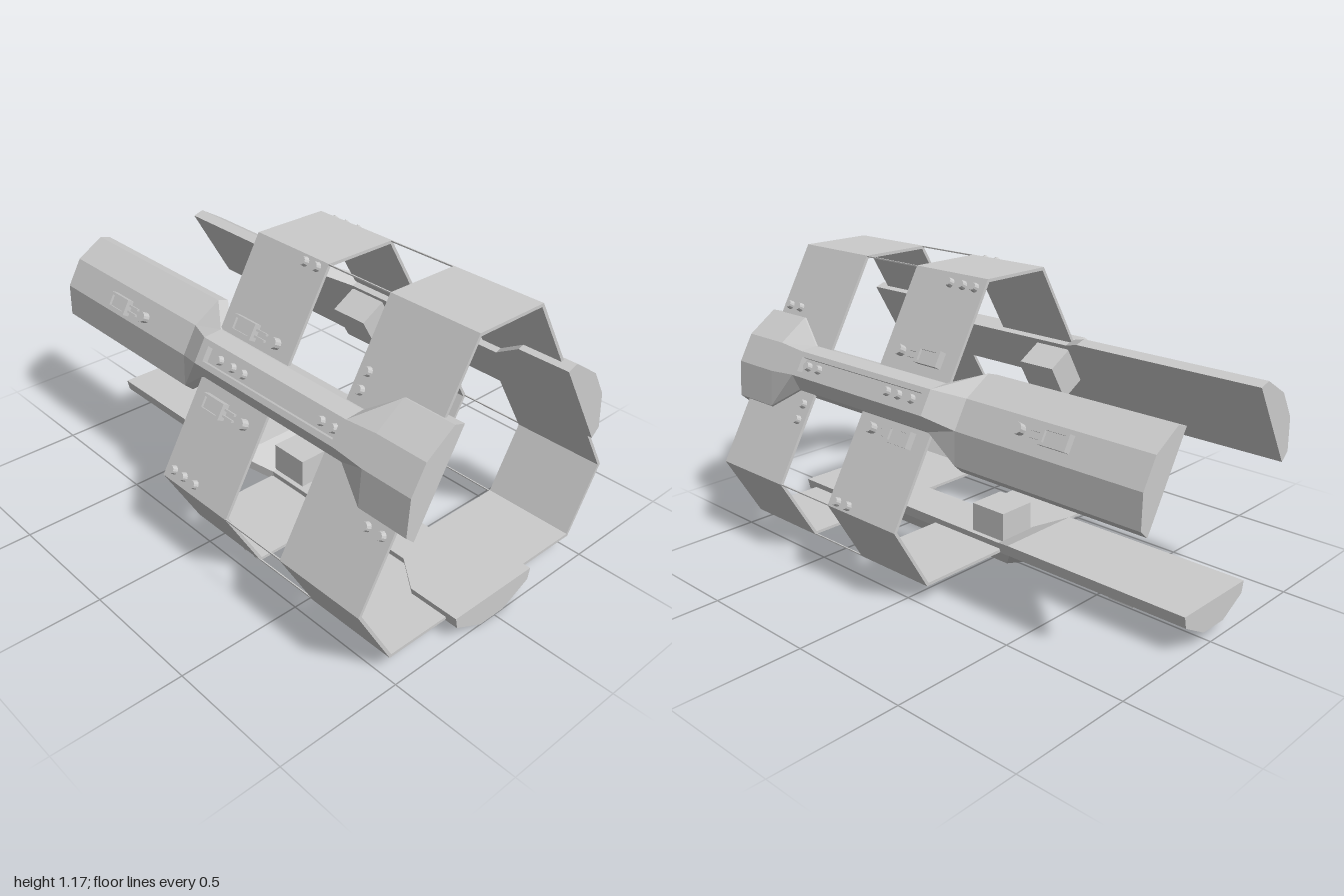
import * as THREE from 'three';

const CY = 0.5226; // height of the three-fold axis
const RING = 0.07; // outer height of the lower ring panel
const U0 = -0.0125; // sideways offset of the wings
const mat = new THREE.MeshStandardMaterial({ color: 0xcccccc, flatShading: true });

function add(parent, name, geo, x = 0, y = 0, z = 0) {
  const m = new THREE.Mesh(geo, mat);
  m.name = name;
  m.position.set(x, y, z);
  parent.add(m);
  return m;
}

// Corners of the six-sided ring, shrunk inward by t
function ringPoints(t) {
  const long = 0.4526 - t, short = 0.6424 - t, pts = [];
  const c = 0.5, s = Math.sqrt(3) / 2;
  for (let k = 0; k < 3; k++) {
    const a = -Math.PI / 2 + k * Math.PI * 2 / 3;
    // where a long panel meets the short panels on both sides of it
    const half = (short - long * c) / s;
    for (const u of [-half, half]) {
      pts.push(new THREE.Vector2(
        long * Math.cos(a) - u * Math.sin(a),
        long * Math.sin(a) + u * Math.cos(a)));
    }
  }
  return pts;
}

function ringGeometry(depth) {
  const shape = new THREE.Shape(ringPoints(0));
  shape.holes.push(new THREE.Path(ringPoints(0.012).reverse()));
  return new THREE.ExtrudeGeometry(shape, { depth, bevelEnabled: false });
}

// Wing cross-section: half width w, half flat f, lift, slot depth d
function section([z, w, f, lift, d]) {
  const s = 0.029, b = lift;
  return [[-w, b + 0.108], [-w + 0.01, b + 0.062], [-f, b], [-s, b], [-s, b + d],
    [s, b + d], [s, b], [f, b], [w - 0.01, b + 0.062], [w, b + 0.108]]
    .map(([x, y]) => new THREE.Vector3(x, y, z));
}

function wingGeometry() {
  const rows = [
    [1, 0.2, 0.06, 0, 0], [0.79, 0.2, 0.06, 0, 0], [0.66, 0.102, 0.05, 0, 0],
    [0.64, 0.102, 0.05, 0, 0], [0.64, 0.102, 0.05, 0, 0.025],
    [-0.04, 0.102, 0.05, 0, 0.025], [-0.04, 0.102, 0.05, 0, 0],
    [-0.075, 0.102, 0.05, 0, 0], [-0.2, 0.183, 0.06, 0.055, 0], [-1, 0.183, 0.06, 0.055, 0],
  ].map(section);
  const pos = [];
  const tri = (a, b, c) => {
    const area = b.clone().sub(a).cross(c.clone().sub(a)).length();
    if (area > 1e-8) for (const p of [a, b, c]) pos.push(p.x, p.y, p.z);
  };
  for (let r = 0; r + 1 < rows.length; r++) {
    const a = rows[r], b = rows[r + 1], n = a.length;
    for (let i = 0; i < n; i++) {
      const j = (i + 1) % n;
      tri(a[i], b[i], b[j]);
      tri(a[i], b[j], a[j]);
    }
  }
  const first = rows[0], last = rows[rows.length - 1];
  for (let i = 1; i + 1 < first.length; i++) {
    tri(first[0], first[i], first[i + 1]);
    tri(last[0], last[i + 1], last[i]);
  }
  const g = new THREE.BufferGeometry();
  g.setAttribute('position', new THREE.Float32BufferAttribute(pos, 3));
  g.computeVertexNormals();
  return g;
}

// Bolt pointing down from the surface at height y
function bolt(parent, x, y, z, h = 0.02) {
  add(parent, 'bolt', new THREE.CylinderGeometry(0.018, 0.015, h, 12), x, y - h / 2, z);
}

// Latch: framed block, two prongs and a bolt in front; z is the block centre
function latch(parent, x, y, z) {
  const g = new THREE.Group();
  g.name = 'latch';
  g.position.set(x, y, z);
  parent.add(g);
  const rect = (T, w, l) => new T([[-w, -l], [w, -l], [w, l], [-w, l]]
    .map(([a, b]) => new THREE.Vector2(a, b)));
  const frame = rect(THREE.Shape, 0.031, 0.058);
  frame.holes.push(rect(THREE.Path, 0.021, 0.042));
  const geo = new THREE.ExtrudeGeometry(frame, { depth: 0.03, bevelEnabled: false });
  geo.rotateX(Math.PI / 2);
  add(g, 'latchFrame', geo);
  add(g, 'latchFloor', new THREE.BoxGeometry(0.044, 0.02, 0.09), 0, -0.01, 0);
  for (const s of [-1, 1]) {
    add(g, 'latchProng', new THREE.BoxGeometry(0.008, 0.012, 0.055), s * 0.012, -0.009, 0.083);
  }
  add(g, 'latchBolt', new THREE.CylinderGeometry(0.021, 0.021, 0.03, 12), 0, -0.015, 0.16);
}

// One third of the model, built at the bottom
function makeSector() {
  const g = new THREE.Group();
  add(g, 'wing', wingGeometry(), U0, 0, 0);
  add(g, 'innerBlock', new THREE.BoxGeometry(0.162, 0.125, 0.165), U0, 0.1625, 0);

  // Bolts in the wing slot
  for (const z of [0.61, 0.55, 0.15, 0.09, 0.02]) bolt(g, U0, 0.025, z);

  // Bolts on the ring panels: [sideways position, z]
  const ringBolts = [
    [0.215, 0.91], [0.215, 0.845], [0.44, 0.085], [0.44, 0.02], [0.44, -0.04],
    [-0.155, 0.615], [-0.22, 0.615], [-0.455, 0.24], [-0.455, 0.18],
  ];
  for (const [x, z] of ringBolts) bolt(g, x, RING, z);

  // Latches beside the wing and on its tail
  latch(g, 0.152, RING, 0.04);
  latch(g, -0.155, RING, 0.04);
  latch(g, 0, 0.057, -0.635);
  return g;
}

export function createModel() {
  const model = new THREE.Group();
  const body = new THREE.Group();
  body.name = 'body';
  body.position.y = CY;
  model.add(body);

  add(body, 'frontRing', ringGeometry(0.375), 0, 0, 0.575);
  add(body, 'rearRing', ringGeometry(0.37), 0, 0, -0.085);

  // Thin wires joining the rings at their corners
  for (const p of ringPoints(0.003)) {
    add(body, 'cornerWire', new THREE.BoxGeometry(0.005, 0.005, 0.3), p.x, p.y, 0.43);
  }

  // Three equal sectors around the axis
  for (let k = 0; k < 3; k++) {
    const pivot = new THREE.Group();
    pivot.name = ['lowerWing', 'leftWing', 'rightWing'][k];
    pivot.rotation.z = k * Math.PI * 2 / 3;
    const sector = makeSector();
    sector.name = 'wingAssembly';
    sector.position.y = -CY;
    pivot.add(sector);
    body.add(pivot);
  }
  return model;
}
